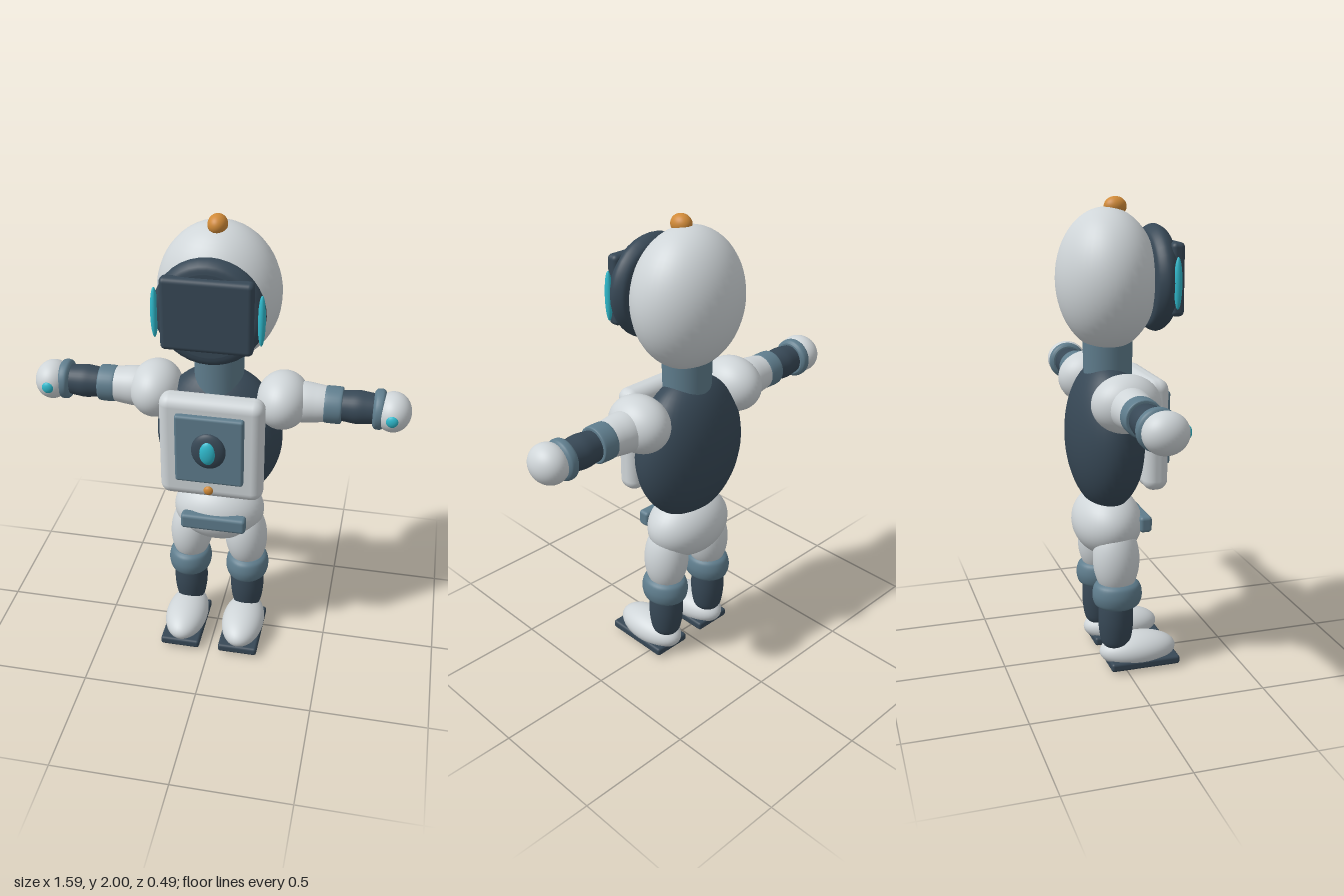
import * as THREE from 'three';
import { RoundedBoxGeometry } from 'three/addons/geometries/RoundedBoxGeometry.js';

const mat = (name, color) => {
  const m = new THREE.MeshStandardMaterial({ color });
  m.name = name;
  return m;
};

export function createModel() {
  const shell = mat('pale shell', 0xcfd5d8);
  const dark = mat('dark navy', 0x374856);
  const slate = mat('slate blue', 0x5f7d8d);
  const cyan = mat('cyan light', 0x2fb9cc);
  const orange = mat('orange', 0xd08a38);

  const root = new THREE.Group();
  root.name = 'robot';

  const add = (parent, name, geo, material, pos) => {
    const m = new THREE.Mesh(geo, material);
    m.name = name;
    m.position.set(...pos);
    parent.add(m);
    return m;
  };
  const ball = (parent, name, material, pos, radii) =>
    add(parent, name, new THREE.SphereGeometry(1, 40, 28).scale(...radii), material, pos);
  const box = (parent, name, material, pos, size, r) =>
    add(parent, name, new RoundedBoxGeometry(...size, 4, r), material, pos);
  // Barrel: closed turned solid from [radius, height] points
  const barrel = (points) => {
    const p = points.map(([r, y]) => new THREE.Vector2(r, y));
    const curve = new THREE.SplineCurve(p).getPoints(24);
    const h0 = points[0][1], h1 = points[points.length - 1][1];
    return new THREE.LatheGeometry(
      [new THREE.Vector2(0, h0), ...curve, new THREE.Vector2(0, h1)], 36);
  };

  // Head and visor
  const head = new THREE.Group();
  head.name = 'head';
  root.add(head);
  ball(head, 'helmet', shell, [0, 1.67, -0.035], [0.25, 0.29, 0.207]);
  ball(head, 'topBeacon', orange, [0, 1.96, 0.003], [0.039, 0.04, 0.047]);
  const rim = barrel([[0.17, -0.048], [0.2, -0.038], [0.22, 0], [0.2, 0.038], [0.17, 0.048]]);
  add(head, 'visorRim', rim.rotateX(Math.PI / 2), dark, [0, 1.67, 0.167]);
  box(head, 'visorScreen', dark, [0, 1.678, 0.215], [0.36, 0.296, 0.056], 0.02);
  for (const s of [1, -1])
    ball(head, 'visorLight', cyan, [s * 0.207, 1.668, 0.201], [0.015, 0.104, 0.017]);

  // Neck, torso and hips
  add(root, 'neck', new THREE.CylinderGeometry(0.105, 0.1, 0.2, 36), slate, [0, 1.34, -0.03]);
  ball(root, 'torso', dark, [0, 1.015, -0.042], [0.27, 0.322, 0.164]);
  ball(root, 'pelvis', shell, [0, 0.634, -0.037], [0.2, 0.147, 0.148]);
  box(root, 'beltPlate', slate, [0, 0.641, 0.1], [0.284, 0.07, 0.054], 0.015);

  // Chest unit
  const chest = new THREE.Group();
  chest.name = 'chestUnit';
  root.add(chest);
  box(chest, 'chestPlate', shell, [0, 1.045, 0.123], [0.436, 0.47, 0.105], 0.045);
  box(chest, 'chestPanel', slate, [0, 1.061, 0.181], [0.286, 0.312, 0.04], 0.012);
  ball(chest, 'chestBezel', dark, [0, 1.067, 0.2], [0.072, 0.082, 0.028]);
  ball(chest, 'chestLight', cyan, [0, 1.067, 0.217], [0.035, 0.054, 0.021]);
  ball(chest, 'chestButton', orange, [0, 0.876, 0.205], [0.02, 0.02, 0.013]);

  for (const s of [1, -1]) {
    // Arm, reaching out to the side
    const arm = new THREE.Group();
    arm.name = s > 0 ? 'leftArm' : 'rightArm';
    arm.position.set(0, 1.206, -0.036);
    root.add(arm);
    const turned = (name, material, x, points) =>
      add(arm, name, barrel(points).rotateZ(-s * Math.PI / 2), material, [s * x, 0, 0]);
    ball(arm, 'shoulder', shell, [s * 0.268, 0.003, 0.004], [0.112, 0.119, 0.142]);
    turned('upperArm', shell, 0.38, [[0.08, -0.1], [0.086, -0.03], [0.08, 0.03], [0.074, 0.07]]);
    turned('elbowBand', slate, 0.477, [[0.07, -0.037], [0.077, -0.028], [0.077, 0.028], [0.07, 0.037]]);
    turned('forearm', dark, 0.577, [[0.06, -0.085], [0.066, -0.04], [0.07, 0], [0.066, 0.04], [0.06, 0.085]]);
    turned('wristBand', slate, 0.664, [[0.07, -0.024], [0.083, -0.012], [0.083, 0.012], [0.07, 0.024]]);
    ball(arm, 'hand', shell, [s * 0.72, 0, 0.011], [0.075, 0.082, 0.09]);
    ball(arm, 'handLight', cyan, [s * 0.72, 0, 0.093], [0.025, 0.026, 0.015]);

    // Leg and foot
    const leg = new THREE.Group();
    leg.name = s > 0 ? 'leftLeg' : 'rightLeg';
    leg.position.x = s * 0.132;
    root.add(leg);
    const thigh = ball(leg, 'thigh', shell, [-s * 0.008, 0.5, -0.03], [0.094, 0.165, 0.1]);
    thigh.rotation.z = s * 0.06;
    const knee = barrel([[0.07, -0.056], [0.088, -0.04], [0.096, 0], [0.088, 0.04], [0.07, 0.056]]);
    add(leg, 'knee', knee.scale(1, 1, 1.12), slate, [0, 0.344, -0.028]);
    const shin = barrel([[0.045, -0.12], [0.064, -0.09], [0.075, -0.01], [0.072, 0.07], [0.06, 0.11]]);
    add(leg, 'shin', shin, dark, [0, 0.22, -0.034]);
    ball(leg, 'foot', shell, [0, 0.074, 0.065], [0.095, 0.074, 0.17]);
    box(leg, 'sole', dark, [0, 0.032, 0.079], [0.176, 0.038, 0.308], 0.012);
  }
  return root;
}
